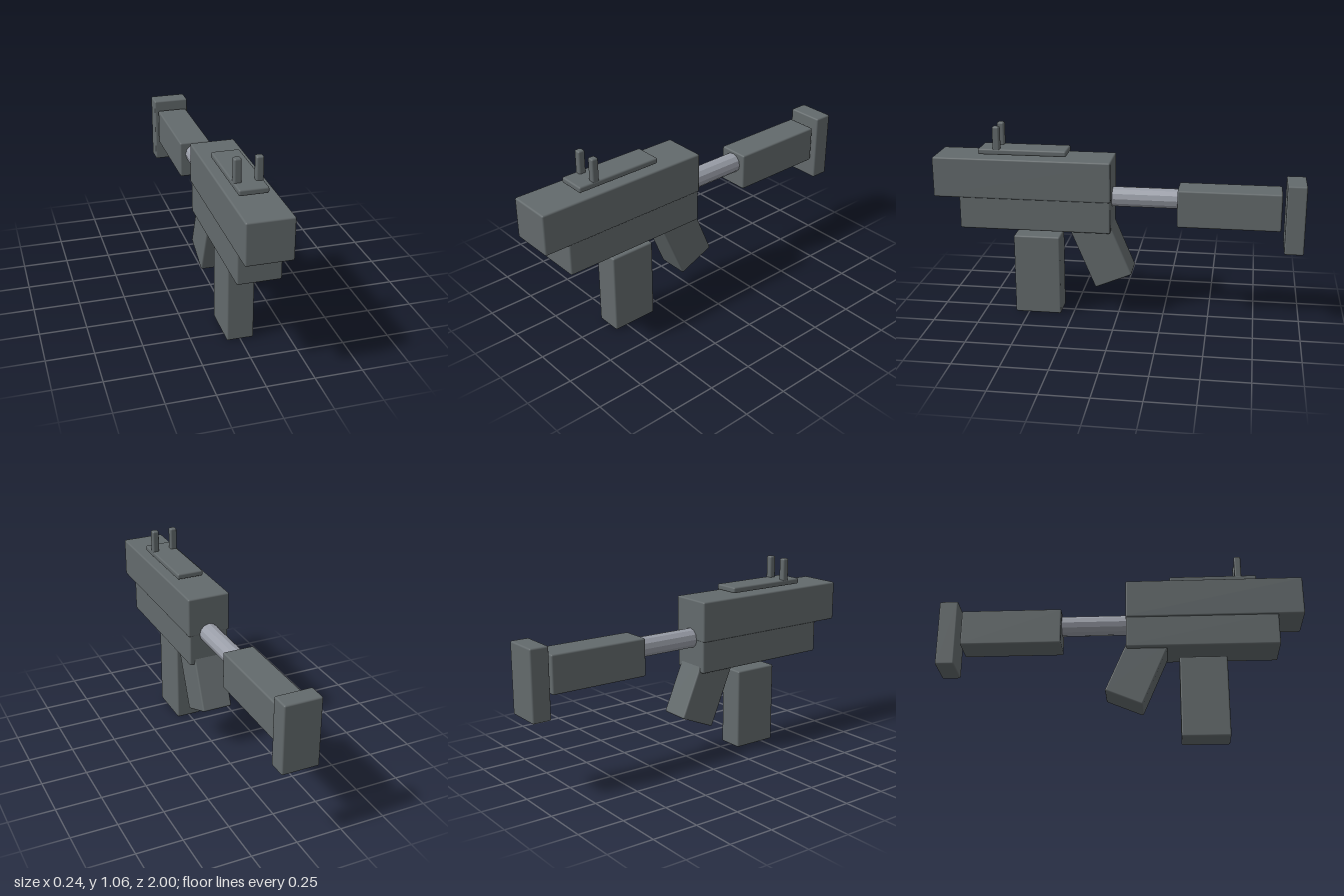
import * as THREE from 'three';
import { RoundedBoxGeometry } from 'three/addons/geometries/RoundedBoxGeometry.js';

const darkGrey = new THREE.MeshStandardMaterial({ color: 0x636a6c });
darkGrey.name = 'dark grey';
const steel = new THREE.MeshStandardMaterial({ color: 0x9a9ea8 });
steel.name = 'steel grey';

export function createModel() {
  const model = new THREE.Group();
  model.name = 'toyBlaster';

  // Softly bevelled block given by its extents on each axis
  function block(name, [x0, x1], [y0, y1], [z0, z1], radius = 0.009) {
    const geometry = new RoundedBoxGeometry(x1 - x0, y1 - y0, z1 - z0, 2, radius);
    const mesh = new THREE.Mesh(geometry, darkGrey);
    mesh.name = name;
    mesh.position.set((x0 + x1) / 2, (y0 + y1) / 2, (z0 + z1) / 2);
    model.add(mesh);
    return mesh;
  }

  // Body
  block('upperBody', [-0.12, 0.12], [0.675, 0.896], [0.03, 1]);
  block('lowerBody', [-0.113, 0.113], [0.5, 0.69], [0.032, 0.86]);

  // Magazine, hanging just clear of the body
  block('magazine', [-0.072, 0.072], [0, 0.453], [0.318, 0.575]);

  // Tilted grip, its top sunk into the lower body
  const grip = block('grip', [-0.086, 0.086], [-0.2, 0.2], [-0.109, 0.109]);
  grip.position.set(0, 0.402, 0.095);
  grip.rotation.x = 0.4;

  // Stock: tube, block and butt plate
  const tube = new THREE.CylinderGeometry(0.055, 0.055, 0.42, 12).toNonIndexed();
  tube.computeVertexNormals();
  const stockTube = new THREE.Mesh(tube, steel);
  stockTube.name = 'stockTube';
  stockTube.rotation.x = Math.PI / 2;
  stockTube.position.set(0, 0.681, -0.145);
  model.add(stockTube);
  block('stock', [-0.086, 0.086], [0.545, 0.75], [-0.876, -0.324]);
  block('buttPlate', [-0.102, 0.102], [0.424, 0.803], [-1, -0.897]);

  // Sight rail with a pair of posts
  block('sightRail', [-0.075, 0.075], [0.908, 0.94], [0.274, 0.755]);
  for (const side of [-1, 1]) {
    const post = block('sightPost', [-0.019, 0.019], [0.91, 1.062], [0.636, 0.674]);
    post.position.x = side * 0.055;
  }

  return model;
}
